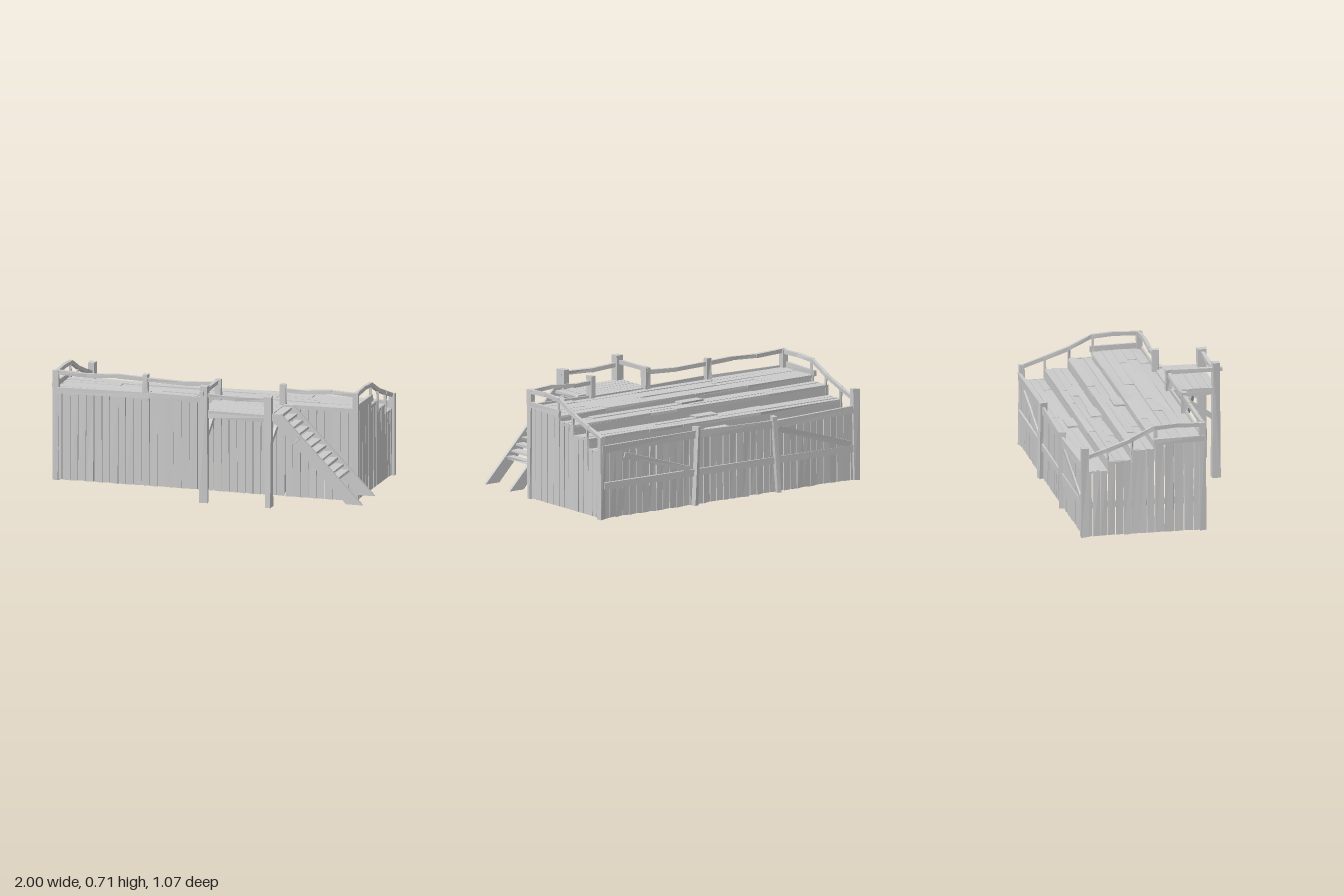
import * as THREE from 'three';

const V = (x, y, z) => new THREE.Vector3(x, y, z);

export function createModel() {
  const root = new THREE.Group();
  root.name = 'timberGrandstand';
  const mat = new THREE.MeshStandardMaterial({ color: 0xcccccc, flatShading: true });

  let seed = 7;
  const rand = () => (seed = (seed * 16807) % 2147483647) / 2147483647;
  const jit = (a) => (rand() - 0.5) * 2 * a;

  const group = (name) => {
    const g = new THREE.Group();
    g.name = name;
    root.add(g);
    return g;
  };

  // Box whose eight corners are each nudged a little, for a hand-cut look
  function roughBox(w, h, d, jx = 0, jy = 0, jz = 0) {
    const geo = new THREE.BoxGeometry(w, h, d);
    const p = geo.attributes.position;
    const nudge = {};
    for (let i = 0; i < p.count; i++) {
      const key = [p.getX(i) > 0, p.getY(i) > 0, p.getZ(i) > 0].join();
      nudge[key] ??= [jit(jx), jit(jy), jit(jz)];
      const n = nudge[key];
      p.setXYZ(i, p.getX(i) + n[0], p.getY(i) + n[1], p.getZ(i) + n[2]);
    }
    geo.computeVertexNormals();
    return geo;
  }

  // Box given by its limits
  function block(parent, name, x0, x1, y0, y1, z0, z1, j = [0, 0, 0]) {
    const m = new THREE.Mesh(roughBox(x1 - x0, y1 - y0, z1 - z0, ...j), mat);
    m.position.set((x0 + x1) / 2, (y0 + y1) / 2, (z0 + z1) / 2);
    m.name = name;
    parent.add(m);
    return m;
  }

  // Straight timber between two points
  function beam(parent, name, a, b, w, h, j = 0.002) {
    const m = new THREE.Mesh(roughBox(w, h, a.distanceTo(b), j, j, 0), mat);
    m.position.copy(a).add(b).multiplyScalar(0.5);
    m.lookAt(b);
    m.name = name;
    parent.add(m);
    return m;
  }

  // Handrail through several points
  function rail(parent, name, pts, w = 0.02, h = 0.024) {
    for (let i = 1; i < pts.length; i++) {
      const end = pts[i].clone().lerp(pts[i - 1], -0.02);
      beam(parent, name, pts[i - 1], end, w, h, 0.002);
    }
  }

  // Upright post, slightly tapered by its rough corners
  const post = (parent, name, x, z, y0, y1, w = 0.04, d = w) =>
    block(parent, name, x - w / 2, x + w / 2, y0, y1, z - d / 2, z + d / 2, [0.005, 0.003, 0.005]);

  // Seating tiers: back edge, front edge, top height
  const tiers = [
    { z0: -0.08, z1: 0.215, y: 0.55, rows: 5 },
    { z0: -0.22, z1: -0.08, y: 0.515, rows: 3 },
    { z0: -0.36, z1: -0.22, y: 0.455, rows: 3 },
    { z0: -0.5, z1: -0.36, y: 0.4, rows: 3 },
  ];

  // Front and back walls of upright planks
  const walls = group('longWalls');
  const count = 38;
  const pitch = 1.86 / count;
  for (let i = 0; i < count; i++) {
    const x = -0.985 + i * pitch;
    const j = [0.003, 0.003, 0.002];
    block(walls, 'frontPlank', x + 0.002, x + pitch - 0.002, 0.003, 0.535, 0.203, 0.218, j);
    block(walls, 'backPlank', x + 0.002, x + pitch - 0.002, 0.003, 0.4, -0.507, -0.493, j);
  }

  // End walls stepping down with the tiers
  const ends = group('endWalls');
  for (const t of tiers) {
    const n = Math.round((t.z1 - t.z0) / 0.055);
    const p = (t.z1 - t.z0) / n;
    for (let i = 0; i < n; i++)
      for (const x of [-0.982, 0.868])
        block(ends, 'endPlank', x - 0.007, x + 0.007, 0.003, t.y, t.z0 + i * p + 0.003,
          t.z0 + (i + 1) * p - 0.003, [0.003, 0.002, 0.004]);
  }
  for (const x of [-0.99, 0.877]) {
    beam(ends, 'endTopBoard', V(x, 0.562, -0.085), V(x, 0.568, 0.22), 0.016, 0.035);
  }
  for (const x of [-0.968, 0.852]) beam(ends, 'endInnerBeam', V(x, 0.19, -0.49), V(x, 0.19, 0.2), 0.02, 0.04);

  // Tread boards in broken lengths, with a riser under each tier edge
  const deck = group('tiers');
  for (const t of tiers) {
    const p = (t.z1 - t.z0) / t.rows;
    for (let r = 0; r < t.rows; r++) {
      const cuts = [-0.985, -0.55 + jit(0.2), jit(0.2), 0.5 + jit(0.2), 0.875];
      for (let i = 0; i < 4; i++) {
        const lift = jit(0.003);
        block(deck, 'treadBoard', cuts[i] + 0.001, cuts[i + 1] - 0.001, t.y - 0.016 + lift, t.y + lift,
          t.z0 + r * p + 0.001, t.z0 + (r + 1) * p - 0.001, [0, 0.002, 0.0015]);
      }
    }
    if (t.z0 > -0.45)
      block(deck, 'riser', -0.975, 0.865, t.y - 0.065, t.y - 0.014, t.z0 + 0.004, t.z0 + 0.014);
  }

  // Aisle steps between tiers
  const aisle = group('aisleSteps');
  tiers.slice(1).forEach((t) => {
    block(aisle, 'aisleStep', -0.13, 0.03, t.y + 0.003, t.y + 0.014, t.z1 - 0.065, t.z1, [0.003, 0.002, 0.003]);
  });

  // Inside framing of the front wall
  const frame = group('frontFraming');
  beam(frame, 'innerBeam', V(-0.97, 0.19, 0.192), V(0.86, 0.19, 0.192), 0.02, 0.04);
  beam(frame, 'innerBrace', V(-0.95, 0.2, 0.19), V(-0.32, 0.51, 0.19), 0.016, 0.04);
  beam(frame, 'innerBrace', V(0.78, 0.2, 0.19), V(0.08, 0.52, 0.19), 0.016, 0.04);
  beam(frame, 'frontTopBoard', V(-0.985, 0.543, 0.224), V(-0.4, 0.553, 0.224), 0.012, 0.035);
  beam(frame, 'frontTopBoard', V(-0.4, 0.553, 0.224), V(0, 0.547, 0.224), 0.012, 0.035);
  beam(frame, 'frontTopBoard', V(0.43, 0.548, 0.222), V(0.88, 0.552, 0.222), 0.012, 0.025);

  // Outside framing of the back wall
  const back = group('backFraming');
  beam(back, 'backBeam', V(-0.98, 0.19, -0.511), V(0.87, 0.2, -0.511), 0.012, 0.04);
  for (const [a, b, ya, yb] of [[-0.99, -0.38, 0.425, 0.41], [-0.38, 0.2, 0.41, 0.425], [0.2, 0.88, 0.425, 0.42]])
    beam(back, 'backTopBoard', V(a, ya, -0.508), V(b, yb, -0.508), 0.016, 0.045);
  beam(back, 'backBrace', V(-0.93, 0.22, -0.511), V(-0.4, 0.38, -0.511), 0.01, 0.035);
  beam(back, 'backBrace', V(0.72, 0.37, -0.511), V(0.24, 0.22, -0.511), 0.01, 0.035);
  beam(back, 'backPost', V(-0.4, 0, -0.512), V(-0.37, 0.46, -0.508), 0.045, 0.025, 0.004);
  beam(back, 'backPost', V(0.21, 0, -0.512), V(0.19, 0.47, -0.508), 0.045, 0.025, 0.004);

  // Corner posts
  const corners = group('cornerPosts');
  post(corners, 'cornerPost', -0.975, -0.495, 0, 0.545, 0.045);
  post(corners, 'cornerPost', 0.872, -0.495, 0, 0.49, 0.035);
  post(corners, 'cornerPost', -0.975, 0.21, 0, 0.66, 0.036);
  post(corners, 'cornerPost', 0.872, 0.21, 0, 0.655, 0.03);

  // Railings
  const rails = group('railings');
  post(rails, 'railPost', -0.425, 0.213, 0.52, 0.675, 0.035);
  post(rails, 'railPost', 0.025, 0.215, 0.5, 0.68, 0.036);
  post(rails, 'railPost', 0.425, 0.215, 0.03, 0.68, 0.036);
  rail(rails, 'frontRail', [V(-0.975, 0.65, 0.21), V(-0.78, 0.643, 0.213), V(-0.6, 0.652, 0.21),
    V(-0.425, 0.645, 0.213), V(-0.2, 0.638, 0.214), V(0.02, 0.65, 0.213)]);
  rail(rails, 'frontRail', [V(0.425, 0.64, 0.213), V(0.56, 0.638, 0.21), V(0.72, 0.652, 0.212), V(0.872, 0.643, 0.21)]);
  for (const x of [-0.975, 0.872]) {
    rail(rails, 'endRail', [V(x, 0.645, 0.21), V(x, 0.65, 0.06), V(x, 0.642, -0.08),
      V(x, 0.575, -0.22), V(x, 0.525, -0.36), V(x, 0.482, -0.49)]);
    for (const [z, y0, y1] of [[-0.072, 0.5, 0.64], [-0.212, 0.45, 0.575], [-0.357, 0.4, 0.525]])
      post(rails, 'balusterPost', x, z, y0, y1, 0.013);
  }

  // Entrance platform with legs, braces and rails
  const plat = group('entrancePlatform');
  const boards = 6;
  for (let i = 0; i < boards; i++) {
    const z = 0.215 + (i * 0.285) / boards;
    block(plat, 'platformBoard', 0 + jit(0.008), 0.435, 0.541, 0.556, z + 0.001, z + 0.0465, [0, 0.001, 0.001]);
  }
  for (const x of [0.025, 0.425])
    beam(plat, 'platformJoist', V(x, 0.525, 0.2), V(x, 0.525, 0.5), 0.025, 0.03);
  beam(plat, 'platformEdge', V(0.02, 0.525, 0.485), V(0.43, 0.525, 0.485), 0.02, 0.03);
  beam(plat, 'platformLeg', V(0.025, 0, 0.497), V(0.025, 0.705, 0.495), 0.045, 0.048, 0.006);
  beam(plat, 'platformLeg', V(0.425, 0, 0.497), V(0.425, 0.67, 0.495), 0.04, 0.055, 0.006);
  for (const x of [0.025, 0.425])
    beam(plat, 'platformBrace', V(x, 0.37, 0.48), V(x, 0.52, 0.26), 0.02, 0.03);
  rail(plat, 'platformSideRail', [V(0.02, 0.665, 0.19), V(0.02, 0.665, 0.525)]);
  rail(plat, 'platformFrontRail', [V(0.01, 0.65, 0.495), V(0.22, 0.638, 0.495), V(0.44, 0.645, 0.495)]);

  // Stair with two sloping stringers and thin treads
  const stair = group('stair');
  const side = new THREE.Shape([[0.44, 0.565], [0.44, 0.53], [0.9, 0.052], [1, 0.052], [0.5, 0.565]]
    .map(([x, y]) => new THREE.Vector2(x, y)));
  for (const z of [0.242, 0.482]) {
    const m = new THREE.Mesh(new THREE.ExtrudeGeometry(side, { depth: 0.018, bevelEnabled: false }), mat);
    m.position.z = z;
    m.name = 'stairStringer';
    stair.add(m);
  }
  for (let i = 0; i < 11; i++) {
    const x = 0.465 + i * 0.0355, y = 0.545 - i * 0.035;
    block(stair, 'stairTread', x - 0.026, x + 0.026, y - 0.007, y + 0.007, 0.256, 0.486, [0.004, 0.003, 0]);
  }
  beam(stair, 'stringerPatch', V(0.56, 0.4, 0.504), V(0.61, 0.435, 0.504), 0.012, 0.03);

  return root;
}
